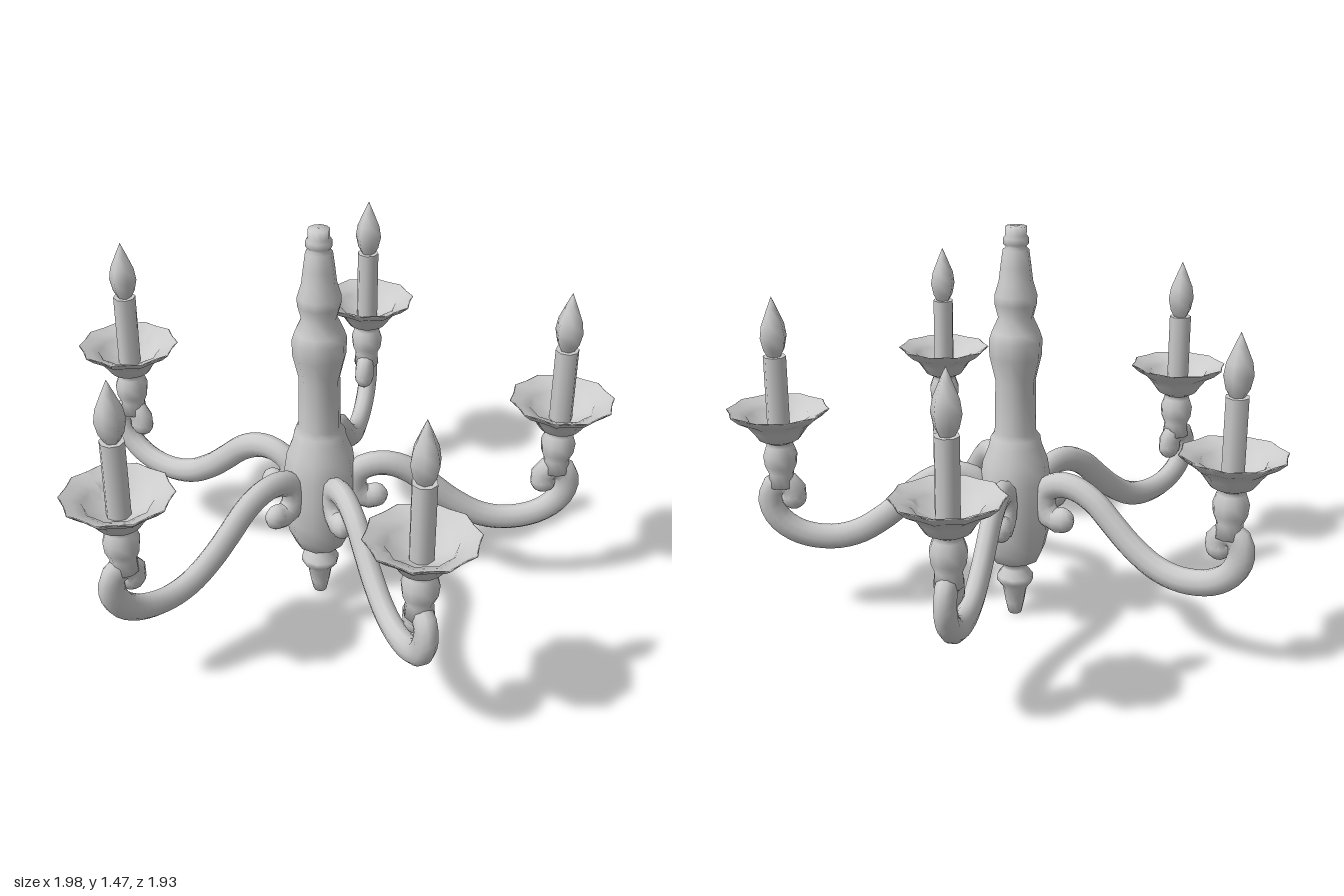
import * as THREE from 'three';

const material = new THREE.MeshStandardMaterial({ color: 0xcccccc });
const thinMaterial = new THREE.MeshStandardMaterial({ color: 0xcccccc, side: THREE.DoubleSide });
const v2 = (pairs) => pairs.map(([x, y]) => new THREE.Vector2(x, y));

function addMesh(parent, name, geometry, mat = material) {
  const mesh = new THREE.Mesh(geometry, mat);
  mesh.name = name;
  parent.add(mesh);
  return mesh;
}

const lathe = (profile, sides) => new THREE.LatheGeometry(v2(profile), sides);

// Turned central column, from the drop finial to the top collar
const columnProfile = [
  [0, 0], [0.025, 0.005], [0.035, 0.05], [0.045, 0.11], [0.068, 0.14], [0.068, 0.16], [0.045, 0.19],
  [0.045, 0.21], [0.09, 0.23], [0.112, 0.28], [0.128, 0.35], [0.13, 0.45], [0.128, 0.55],
  [0.118, 0.62], [0.095, 0.68], [0.09, 0.71], [0.075, 0.73], [0.072, 0.92], [0.093, 1.01],
  [0.095, 1.07], [0.085, 1.1], [0.062, 1.15], [0.075, 1.2], [0.075, 1.23], [0.06, 1.28],
  [0.054, 1.33], [0.046, 1.39], [0.035, 1.4], [0.045, 1.41], [0.045, 1.43], [0.037, 1.44], [0.037, 1.47], [0, 1.47],
];

// S-shaped arm centreline: inner scroll, dip, outer scroll
const armPath = [
  [0.2, 0.425], [0.16, 0.42], [0.125, 0.46], [0.13, 0.525], [0.18, 0.557], [0.25, 0.56], [0.33, 0.525],
  [0.41, 0.455], [0.48, 0.395], [0.58, 0.335], [0.68, 0.315], [0.79, 0.335], [0.865, 0.39],
  [0.893, 0.46], [0.88, 0.515], [0.84, 0.53], [0.81, 0.505], [0.81, 0.475],
];

const socketProfile = [
  [0, 0.5], [0.05, 0.52], [0.045, 0.57], [0.058, 0.6], [0.062, 0.64], [0.05, 0.675], [0.045, 0.69], [0.06, 0.71], [0, 0.72],
];

const dishProfile = [
  [0.045, 0.69], [0.075, 0.705], [0.1, 0.74], [0.12, 0.765], [0.155, 0.785], [0.185, 0.812],
  [0.18, 0.815], [0.15, 0.797], [0.115, 0.785], [0.1, 0.755], [0.03, 0.735],
];

const flameProfile = [[0.02, 1.0], [0.04, 1.035], [0.05, 1.08], [0.043, 1.125], [0.02, 1.18], [0, 1.225]];

// Lathe whose outer radius is pinched between ten cusps
function scallopedDish() {
  const geometry = lathe(dishProfile, 20);
  const p = geometry.attributes.position;
  for (let i = 0; i < p.count; i++) {
    const x = p.getX(i), z = p.getZ(i);
    const weight = THREE.MathUtils.smoothstep(Math.hypot(x, z), 0.07, 0.12);
    const f = 1 - 0.035 * weight * (1 - Math.cos(10 * Math.atan2(z, x)));
    p.setX(i, x * f);
    p.setZ(i, z * f);
  }
  geometry.computeVertexNormals();
  return geometry;
}

function createArm(reach) {
  const arm = new THREE.Group();
  const tubeRadius = 0.047;
  const flat = 0.8;

  // Oval-section arm with rounded scroll ends
  const points = armPath.map(([x, y]) => new THREE.Vector3(x, y, 0));
  const curve = new THREE.CatmullRomCurve3(points);
  addMesh(arm, 'curvedArm', new THREE.TubeGeometry(curve, 44, tubeRadius, 10, false)).scale.z = flat;
  for (const end of [points[0], points[points.length - 1]]) {
    const cap = addMesh(arm, 'scrollEnd', new THREE.SphereGeometry(tubeRadius, 10, 8));
    cap.position.copy(end);
    cap.scale.z = flat;
  }

  // Candle holder, candle and flame bulb
  const holder = new THREE.Group();
  holder.name = 'candleHolder';
  holder.position.x = reach;
  addMesh(holder, 'socket', lathe(socketProfile, 10));
  addMesh(holder, 'dripDish', scallopedDish(), thinMaterial);
  addMesh(holder, 'candle', new THREE.CylinderGeometry(0.041, 0.041, 0.3, 8)).position.y = 0.86;
  addMesh(holder, 'flameBulb', lathe(flameProfile, 6));
  arm.add(holder);
  return arm;
}

export function createModel() {
  const model = new THREE.Group();
  model.name = 'chandelier';
  const body = new THREE.Group();
  body.name = 'body';
  body.position.set(-0.018, 0, 0.067);
  model.add(body);

  addMesh(body, 'centralColumn', lathe(columnProfile, 10));

  // Five arms, given as degrees clockwise from the back and candle reach
  [[2, 0.85], [77.3, 0.85], [147.5, 0.84], [218, 0.84], [290.7, 0.845]].forEach(([degrees, reach], i) => {
    const arm = createArm(reach);
    arm.name = `arm${i + 1}`;
    arm.rotation.y = THREE.MathUtils.degToRad(90 - degrees);
    body.add(arm);
  });
  return model;
}
